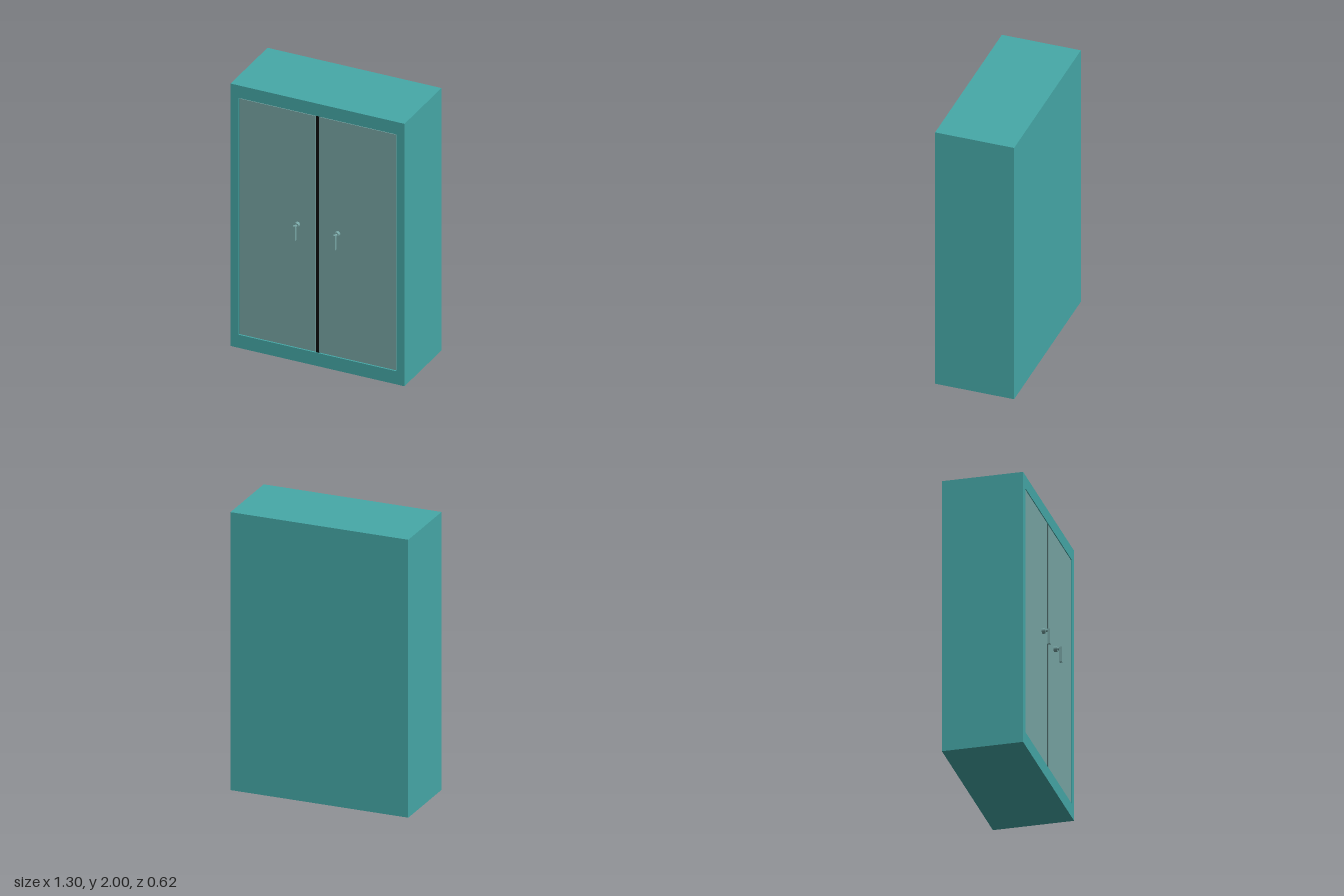
import * as THREE from 'three';

const mat = (name, color) => {
  const m = new THREE.MeshStandardMaterial({ color });
  m.name = name;
  return m;
};

export function createModel() {
  const teal = mat('teal paint', 0x46a9a8);
  const grey = mat('grey teal', 0x78a6a5);
  const black = mat('black gap', 0x0a0a0a);

  const cabinet = new THREE.Group();
  cabinet.name = 'cabinet';

  const add = (parent, name, geometry, material, x, y, z) => {
    const mesh = new THREE.Mesh(geometry, material);
    mesh.name = name;
    mesh.position.set(x, y, z);
    parent.add(mesh);
    return mesh;
  };
  const box = (w, h, d) => new THREE.BoxGeometry(w, h, d);

  const back = -0.31, front = 0.255, recess = 0.012;
  const bottom = 0.1, top = 1.905, halfOpening = 0.592;

  // Carcass behind the doors
  const depth = front - recess - back;
  add(cabinet, 'body', box(1.3, 2, depth), teal, 0, 1, back + depth / 2);

  // Front frame around the door opening
  const rect = (path, x0, y0, x1, y1) =>
    path.moveTo(x0, y0).lineTo(x1, y0).lineTo(x1, y1).lineTo(x0, y1).closePath();
  const outline = rect(new THREE.Shape(), -0.65, 0, 0.65, 2);
  outline.holes.push(rect(new THREE.Path(), -halfOpening, bottom, halfOpening, top));
  add(cabinet, 'frontFrame',
    new THREE.ExtrudeGeometry(outline, { depth: recess, bevelEnabled: false }),
    teal, 0, 0, front - recess);

  // Dark gap between the doors
  const midY = (bottom + top) / 2;
  add(cabinet, 'centreGap', box(0.026, top - bottom, 0.006), black, -0.002, midY, front - recess + 0.003);

  for (const side of [-1, 1]) {
    const label = side > 0 ? 'left' : 'right';

    // Door, set in with a narrow reveal
    const inner = side > 0 ? 0.011 : 0.015, outer = 0.586;
    add(cabinet, label + 'Door', box(outer - inner, top - bottom - 0.01, 0.009), grey,
      side * (inner + outer) / 2, midY, front - recess + 0.0045);

    // Handle: round rose, stem and drop lever
    const handle = new THREE.Group();
    handle.name = label + 'Handle';
    handle.position.set(side * 0.15, 1.045, 0);
    cabinet.add(handle);
    const rose = add(handle, 'rose', new THREE.CylinderGeometry(0.019, 0.019, 0.027, 24), grey, 0, 0, 0.2625);
    const stem = add(handle, 'stem', new THREE.CylinderGeometry(0.0095, 0.0095, 0.03, 16), grey, 0, 0, 0.285);
    rose.rotation.x = stem.rotation.x = Math.PI / 2;
    add(handle, 'lever', box(0.018, 0.11, 0.019), grey, 0, -0.045, 0.3);
  }

  return cabinet;
}
